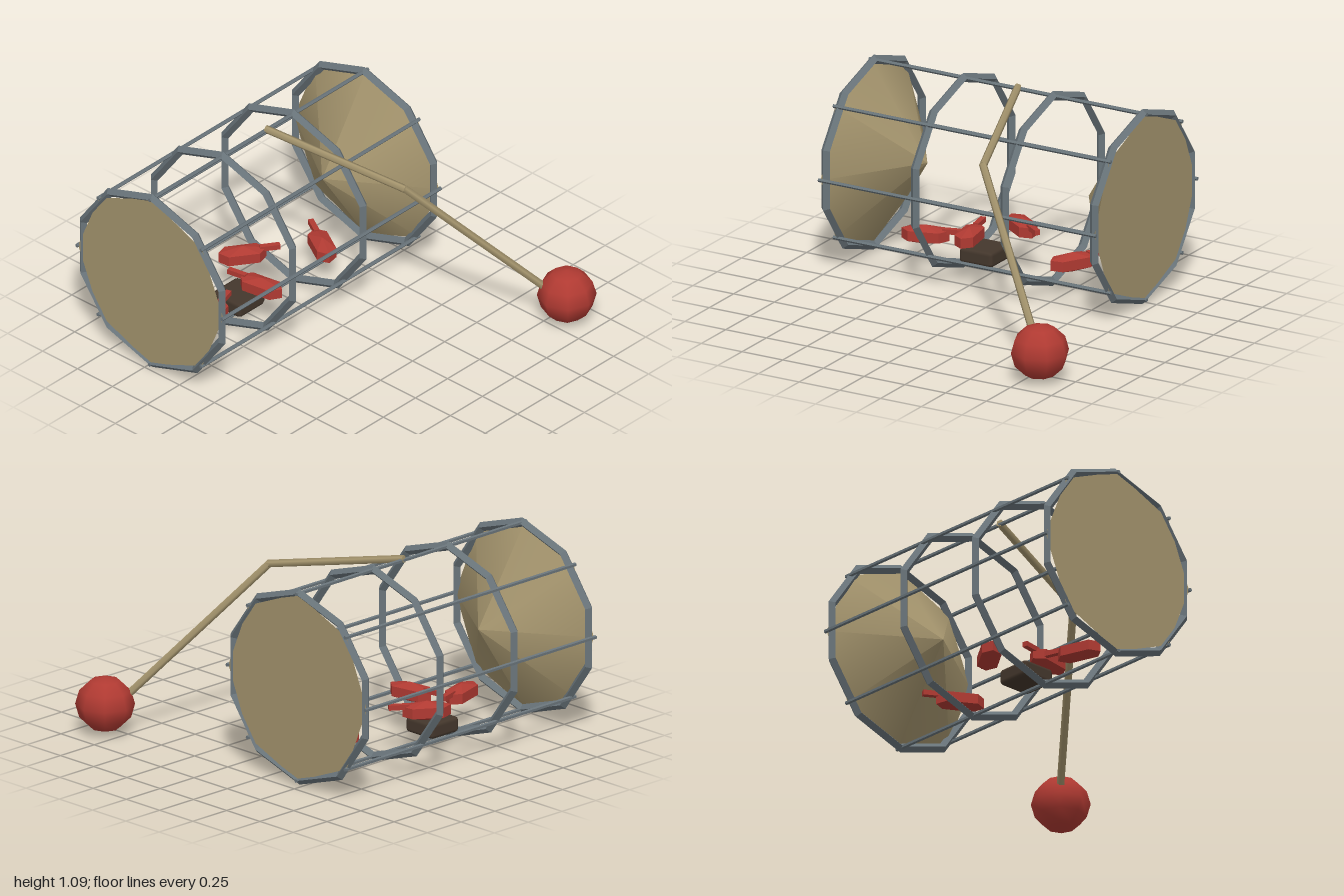
import * as THREE from 'three';
import { ConvexGeometry } from 'three/addons/geometries/ConvexGeometry.js';
import { RoundedBoxGeometry } from 'three/addons/geometries/RoundedBoxGeometry.js';

const material = (name, color, flatShading = false) => {
  const m = new THREE.MeshStandardMaterial({ color, flatShading });
  m.name = name;
  return m;
};

export function createModel() {
  const steel = material('steel grey', 0x69747a, true);
  const tan = material('tan', 0xa4946d);
  const red = material('red', 0xb03a32);
  const brown = material('dark brown', 0x44372c);

  const model = new THREE.Group();
  model.name = 'trap';
  const add = (parent, name, geometry, mat, x = 0, y = 0, z = 0) => {
    const mesh = new THREE.Mesh(geometry, mat);
    mesh.name = name;
    mesh.position.set(x, y, z);
    parent.add(mesh);
    return mesh;
  };

  // Cage: four hoops joined by eight rods, lying along x
  const cage = new THREE.Group();
  cage.name = 'cage';
  cage.position.set(-0.144, 0.548, -0.47);
  model.add(cage);
  const R = 0.52;
  const hoop = new THREE.TorusGeometry(R, 0.026, 4, 10);
  hoop.rotateZ(Math.PI / 2).rotateY(Math.PI / 2);
  for (let i = 0; i < 4; i++) add(cage, 'hoop', hoop, steel, -0.825 + i * 0.55);
  const rod = new THREE.CylinderGeometry(0.011, 0.011, 1.705, 5).rotateZ(Math.PI / 2);
  for (let i = 0; i < 8; i++) {
    const a = (i * Math.PI) / 4;
    add(cage, 'rod', rod, steel, 0, R * Math.sin(a), R * Math.cos(a));
  }

  // Entrance cones point inwards from both ends
  for (const side of [-1, 1]) {
    const cone = new THREE.ConeGeometry(R, 0.345, 8).rotateZ((side * Math.PI) / 2);
    add(cage, 'entranceCone', cone, tan, side * (0.84 - 0.1725));
  }

  // Bait block
  add(model, 'baitBlock', new RoundedBoxGeometry(0.205, 0.088, 0.205, 1, 0.022), brown, -0.292, 0.108, -0.478);

  // Catch: six-sided bodies, each with a thin tail
  const outline = [[0.13, 0], [0.085, 0.053], [-0.085, 0.053], [-0.13, 0], [-0.085, -0.053], [0.085, -0.053]];
  const points = [new THREE.Vector3(0, 0.054, 0), new THREE.Vector3(0, -0.054, 0)];
  for (const [x, z] of outline) {
    points.push(new THREE.Vector3(x, 0.028, z), new THREE.Vector3(x, -0.028, z));
  }
  const body = new ConvexGeometry(points);
  const tail = new THREE.BoxGeometry(0.11, 0.028, 0.03);
  const places = [
    [-0.6, 0.184, -0.383, 0.955, -0.29],
    [-0.135, 0.25, -0.595, 0.82, 0.57],
    [0.285, 0.184, -0.41, 0.5, -0.86],
    [-0.29, 0.25, -0.318, -0.17, -0.98],
  ];
  for (const [x, y, z, dx, dz] of places) {
    const animal = new THREE.Group();
    animal.name = 'catch';
    animal.position.set(x, y, z);
    animal.rotation.y = Math.atan2(-dz, dx);
    add(animal, 'body', body, red);
    add(animal, 'tail', tail, red, 0.148, 0.028, 0);
    model.add(animal);
  }

  // Rope from the top of the cage to the float
  const knots = [[-0.085, 1.075, -0.47], [0.16, 0.92, 0.295], [0.79, 0.17, 0.79]].map((p) => new THREE.Vector3(...p));
  for (let i = 0; i < 2; i++) {
    const dir = knots[i + 1].clone().sub(knots[i]);
    const rope = add(model, 'rope', new THREE.CylinderGeometry(0.022, 0.022, dir.length() + 0.01, 5), tan);
    rope.position.copy(knots[i]).addScaledVector(dir, 0.5);
    rope.quaternion.setFromUnitVectors(new THREE.Vector3(0, 1, 0), dir.normalize());
  }

  // Float
  const float = add(model, 'float', new THREE.SphereGeometry(0.158, 8, 6), red, 0.833, 0.17, 0.838);
  float.scale.y = 0.95;

  return model;
}
